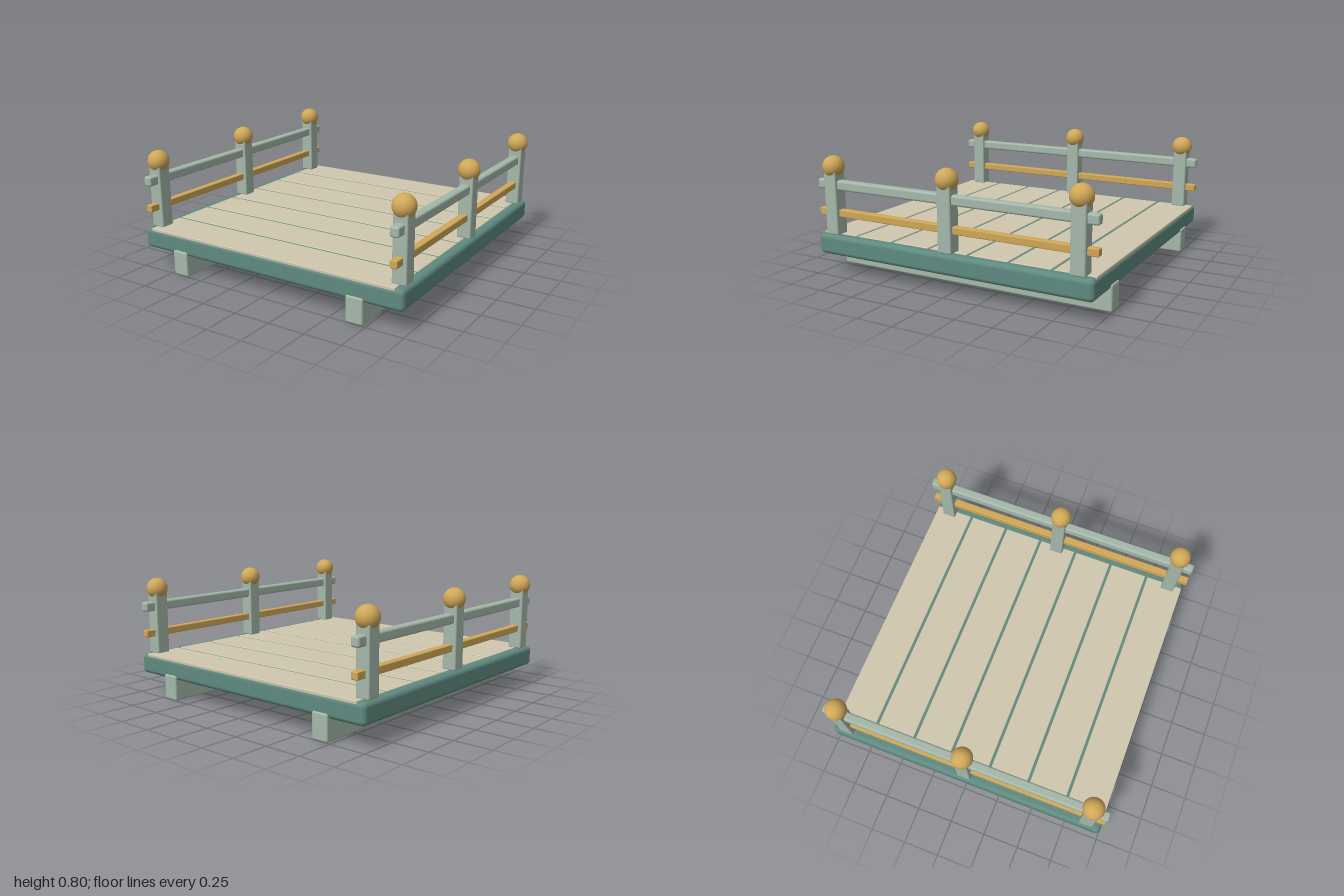
import * as THREE from 'three';
import { RoundedBoxGeometry } from 'three/addons/geometries/RoundedBoxGeometry.js';

const material = (color) => new THREE.MeshStandardMaterial({ color });

export function createModel() {
  const model = new THREE.Group();
  model.name = 'railedPlatform';
  const teal = material(0x5f8a80);
  const sage = material(0xa5b8aa);
  const gold = material(0xd0a858);
  const cream = material(0xcfc7ae);

  const add = (name, geometry, mat, x, y, z, parent = model) => {
    const mesh = new THREE.Mesh(geometry, mat);
    mesh.name = name;
    mesh.position.set(x, y, z);
    parent.add(mesh);
  };
  const box = (w, h, d, r) => new RoundedBoxGeometry(w, h, d, 3, r);

  // Deck slab
  add('deckBase', box(1.975, 0.137, 1.98, 0.03), teal, 0, 0.211, 0);

  // Seven planks with narrow gaps
  const pitch = 0.284;
  const plank = box(1.86, 0.025, 0.266, 0.005);
  for (let i = -3; i <= 3; i++) add('plank', plank, cream, 0, 0.272, i * pitch);

  // Skids, and a railing along each side
  const skid = box(0.117, 0.17, 2, 0.012);
  const post = box(0.096, 0.43, 0.096, 0.01);
  const ball = new THREE.SphereGeometry(0.072, 24, 16);
  const topRail = box(0.06, 0.065, 2, 0.014);
  const lowerRail = box(0.048, 0.048, 2, 0.006);
  for (const side of [-1, 1]) {
    add('skid', skid, sage, side * 0.672, 0.089, 0);
    const railing = new THREE.Group();
    railing.name = side > 0 ? 'leftRailing' : 'rightRailing';
    railing.position.x = side * 0.925;
    model.add(railing);
    for (const z of [-0.883, 0, 0.883]) {
      add('post', post, sage, 0, 0.495, z, railing);
      add('postBall', ball, gold, 0, 0.732, z, railing);
    }
    add('topRail', topRail, sage, 0, 0.613, 0, railing);
    add('lowerRail', lowerRail, gold, 0, 0.426, 0, railing);
  }
  return model;
}
